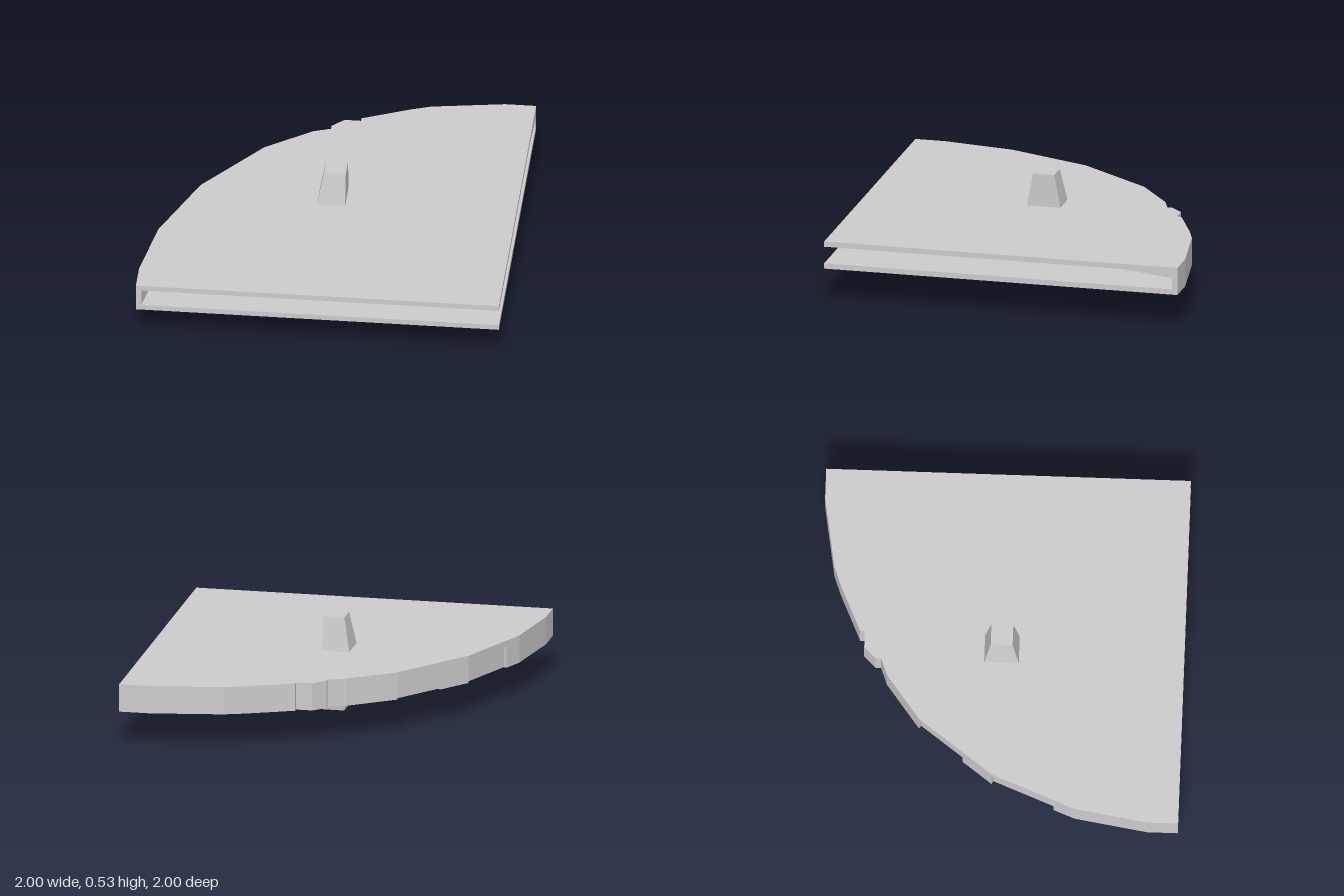
import * as THREE from 'three';

const material = new THREE.MeshStandardMaterial({ color: 0xcccccc, flatShading: true, side: THREE.DoubleSide });

// Plan outlines as [x, z] points running from the back corner to the right corner
const backEdge = [[1, -1], [0.83, -1], [0.43, -0.935], [0.32, -0.895], [0.06, -0.78], [0.06, -0.755],
  [-0.03, -0.755], [-0.095, -0.69], [-0.095, -0.66], [-0.19, -0.625], [-0.44, -0.44]];
const sideEnd = [[-0.935, 0.43], [-1, 0.83], [-1, 1]];
const topEdge = [...backEdge, [-0.75, -0.03], ...sideEnd];
const lowerEdge = [...backEdge, [-0.424, -0.428], [-0.61, -0.182], [-0.626, -0.194], [-0.75, -0.03],
  [-0.732, -0.022], [-0.871, 0.323], [-0.889, 0.315], ...sideEnd];
const innerEdge = [[1, -0.97], [0.5, -0.9], [0.06, -0.71], [-0.15, -0.62], [-0.41, -0.41],
  [-0.69, 0], [-0.87, 0.41], [-0.97, 1]];

const [FLOOR, CEILING, BOTTOM, TOP] = [0.22, 0.315, 0.19, 0.345];

function addMesh(group, name, geometry) {
  const mesh = new THREE.Mesh(geometry, material);
  mesh.name = name;
  group.add(mesh);
}

// Flat slab from a plan outline between two heights
function slab(points, y0, y1) {
  const shape = new THREE.Shape(points.map(([x, z]) => new THREE.Vector2(x, -z)));
  const geometry = new THREE.ExtrudeGeometry(shape, { depth: y1 - y0, bevelEnabled: false });
  return geometry.rotateX(-Math.PI / 2).translate(0, y0, 0);
}

// Peg narrowing away from the plate, with its +x face kept upright
function peg(y0, y1) {
  const geometry = new THREE.BoxGeometry(1, 1, 1);
  const p = geometry.attributes.position;
  for (let i = 0; i < p.count; i++) {
    const tip = (p.getY(i) > 0) === (y1 > 0.3);
    const half = tip ? 0.06 : 0.095;
    p.setXYZ(i, p.getX(i) > 0 ? 0.06 : -half, p.getY(i) > 0 ? y1 : y0, Math.sign(p.getZ(i)) * half);
  }
  geometry.computeVertexNormals();
  return geometry;
}

// Sloping ceiling strip that meets the back wall, closed at its outer end
function soffit() {
  const low = innerEdge.slice(0, 3);
  const vertices = [];
  for (let i = 0; i < 2; i++) {
    const [x0, z0] = low[i], [x1, z1] = low[i + 1];
    const a = [x0, CEILING, -0.69], b = [x1, CEILING, -0.69];
    const c = [x0, 0.285, z0], d = [x1, 0.285, z1];
    vertices.push(...a, ...c, ...b, ...b, ...c, ...d);
  }
  vertices.push(1, CEILING, -0.69, 1, 0.285, -0.97, 1, CEILING, -0.97);
  const geometry = new THREE.BufferGeometry();
  geometry.setAttribute('position', new THREE.Float32BufferAttribute(vertices, 3));
  geometry.computeVertexNormals();
  return geometry;
}

export function createModel() {
  const group = new THREE.Group();
  group.name = 'quarterDisc';
  // Two quarter-round plates
  addMesh(group, 'topPlate', slab([...topEdge, [1, 1]], CEILING, TOP));
  addMesh(group, 'bottomPlate', slab([...lowerEdge, [1, 1]], BOTTOM, FLOOR));
  // Curved wall; both straight sides stay open
  addMesh(group, 'curvedWall', slab([...lowerEdge, ...[...innerEdge].reverse()], FLOOR, CEILING));
  addMesh(group, 'backSoffit', soffit());
  // Pivot peg through both plates
  addMesh(group, 'upperPeg', peg(TOP, 0.53));
  addMesh(group, 'lowerPeg', peg(0, BOTTOM));
  const core = new THREE.BoxGeometry(0.155, CEILING - FLOOR, 0.19);
  addMesh(group, 'pegCore', core.translate(-0.0175, (FLOOR + CEILING) / 2, 0));
  return group;
}
